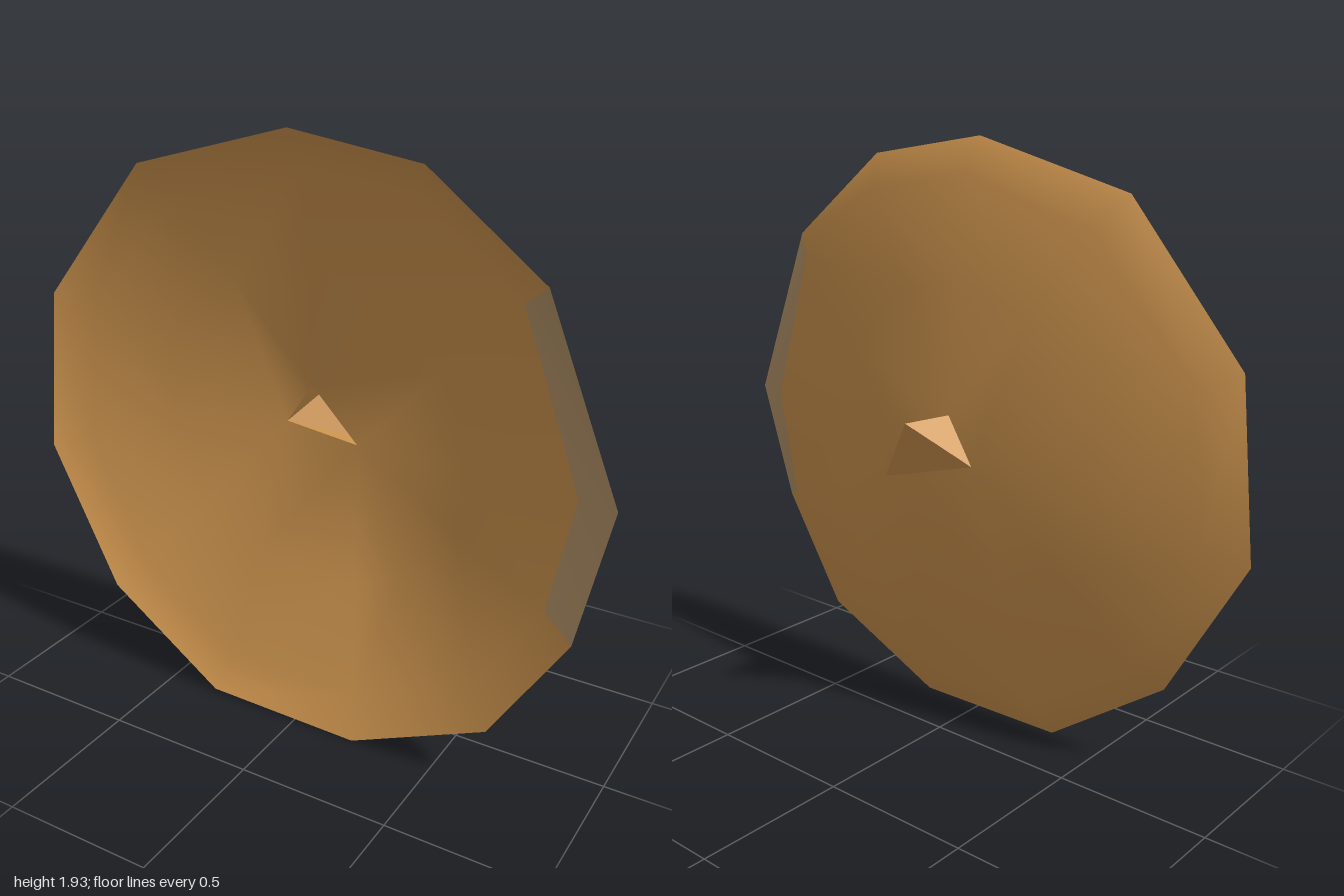
import * as THREE from 'three';

const bronze = new THREE.MeshStandardMaterial({ color: 0xd0964f, side: THREE.DoubleSide });
bronze.name = 'bronze';
const tarnish = new THREE.MeshStandardMaterial({ color: 0xb8976a, side: THREE.DoubleSide });
tarnish.name = 'tarnish';

// Uneven twelve-sided rim, clockwise from the top
const rim = [
  [-0.04, 1.94, 0.14], [0.39, 1.88, 0.14], [0.76, 1.6, 0.145], [1, 1.02, 0.155],
  [0.92, 0.6, 0.2], [0.68, 0.22, 0.2], [0.22, 0.01, 0.2], [-0.32, 0.02, 0.2],
  [-0.73, 0.31, 0.2], [-1, 0.78, 0.17], [-0.95, 1.33, 0.155], [-0.58, 1.79, 0.14],
];
// Three-cornered opening in the middle: top, right, left
const hub = [[-0.07, 1.11, -0.04], [0.09, 0.935, -0.05], [-0.17, 0.965, -0.05]];
const hubOf = [0, 0, 1, 1, 1, 1, 1, 2, 2, 2, 2, 0]; // hub corner facing each rim corner

function makeGeometry(points, index) {
  const g = new THREE.BufferGeometry();
  g.setAttribute('position', new THREE.Float32BufferAttribute(points.flat(), 3));
  g.setIndex(index);
  g.computeVertexNormals();
  return g;
}

function makeDish() {
  const n = rim.length;
  // Lip: where the steep edge meets the shallow cone
  const lip = rim.map(([x, y, z], i) => [x * 0.88, 0.97 + (y - 0.97) * 0.88, i === 3 ? 0.125 : z - 0.07]);
  // Middle ring, with two dented corners
  const mid = lip.map((p, i) => p.map((v, k) => v + (hub[hubOf[i]][k] - v) * 0.45));
  mid[5] = [0.27, 0.53, -0.025];
  mid[10] = [-0.56, 1.2, 0.03];

  const index = [];
  const groups = [];
  for (let ring = 0; ring < 2; ring++) {
    for (let i = 0; i < n; i++) {
      const j = (i + 1) % n;
      const a = ring * n + i, b = ring * n + j;
      groups.push([index.length, 6, ring === 0 && (i === 2 || i === 3) ? 1 : 0]);
      index.push(a, b, a + n, b, b + n, a + n);
    }
  }
  // Join the middle ring to the three hub corners
  const start = index.length;
  for (let i = 0; i < n; i++) {
    const j = (i + 1) % n;
    const a = 2 * n + i, b = 2 * n + j, ha = 3 * n + hubOf[i], hb = 3 * n + hubOf[j];
    index.push(a, b, ha);
    if (ha !== hb) index.push(b, hb, ha);
  }
  groups.push([start, index.length - start, 0]);

  const g = makeGeometry([...rim, ...lip, ...mid, ...hub], index);
  groups.forEach((s) => g.addGroup(...s));
  const mesh = new THREE.Mesh(g, [bronze, tarnish]);
  mesh.name = 'dish';
  return mesh;
}

// Hollow wedge behind the opening, closed by one slanted edge
function makeStub() {
  const tip = [[-0.04, 1.11, -0.205], [0.09, 0.91, -0.155]];
  const index = [0, 1, 3, 1, 4, 3, 1, 2, 4, 2, 3, 4, 2, 0, 3];
  const g = makeGeometry([...hub, ...tip], index).toNonIndexed();
  g.computeVertexNormals();
  const mesh = new THREE.Mesh(g, bronze);
  mesh.name = 'rearStub';
  return mesh;
}

export function createModel() {
  const model = new THREE.Group();
  model.name = 'shallowDish';
  model.add(makeDish(), makeStub());
  return model;
}
